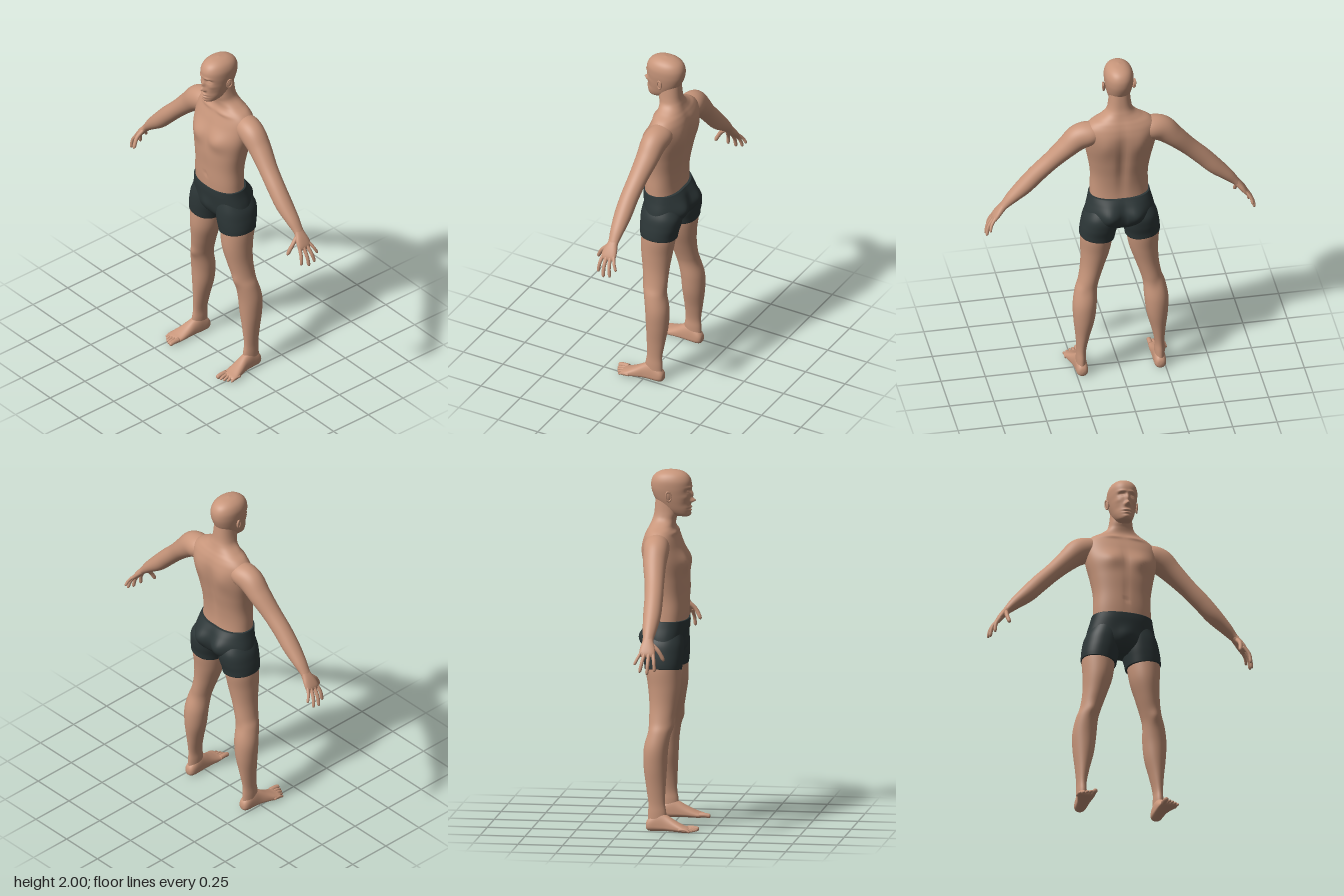
import * as THREE from 'three';

const skin = new THREE.MeshStandardMaterial({ color: 0xc8967b });
skin.name = 'skin';
const cloth = new THREE.MeshStandardMaterial({ color: 0x2d3738 });
cloth.name = 'dark cloth';

const X = new THREE.Vector3(1, 0, 0), Y = new THREE.Vector3(0, 1, 0), Z = new THREE.Vector3(0, 0, 1);

function catmull(a, b, c, d, t) {
  return 0.5 * (2 * b + (c - a) * t + (2 * a - 5 * b + 4 * c - d) * t * t + (3 * b - a - 3 * c + d) * t * t * t);
}

// Smooth skin through cross-sections [x, y, z, half width, depth toward ref, depth away from ref].
// axis fixes the section plane; without it the sections follow the path.
// bumps: [|x|, y, side (+1 front, -1 back), outward push, x spread, y spread]
function loft(rows, { n = 32, steps = 6, axis = null, ref = Z, power = 2, bumps = [], warp = null } = {}) {
  const S = [], at = i => rows[Math.max(0, Math.min(rows.length - 1, i))];
  for (let i = 0; i < rows.length - 1; i++)
    for (let k = 0; k < steps; k++)
      S.push(rows[i].map((_, j) => catmull(at(i - 1)[j], at(i)[j], at(i + 1)[j], at(i + 2)[j], k / steps)));
  S.push(rows[rows.length - 1]);
  const centres = S.map(r => new THREE.Vector3(r[0], r[1], r[2]));
  const pos = [], idx = [];
  S.forEach((r, i) => {
    const t = axis ? axis.clone()
      : centres[Math.min(i + 1, S.length - 1)].clone().sub(centres[Math.max(i - 1, 0)]).normalize();
    const v = ref.clone().addScaledVector(t, -ref.dot(t)).normalize();
    const u = v.clone().cross(t);
    for (let k = 0; k < n; k++) {
      const c = Math.cos(k / n * 2 * Math.PI), s = Math.sin(k / n * 2 * Math.PI);
      const e = w => Math.sign(w) * Math.pow(Math.abs(w), 2 / power);
      const p = centres[i].clone().addScaledVector(u, Math.max(r[3], 0.0005) * e(c))
        .addScaledVector(v, Math.max(s > 0 ? r[4] : r[5], 0.0005) * e(s));
      let push = 0;
      for (const [bx, by, side, d, sx, sy] of bumps)
        if (s * side > 0)
          push += side * d * Math.sqrt(Math.abs(s)) *
            Math.exp(-(((Math.abs(p.x) - bx) / sx) ** 2) - ((p.y - by) / sy) ** 2);
      p.z += push;
      if (warp) warp(p);
      pos.push(p.x, p.y, p.z);
    }
  });
  const last = (S.length - 1) * n, cap = S.length * n;
  for (const c of [centres[0], centres[S.length - 1]]) {
    const p = c.clone();
    if (warp) warp(p);
    pos.push(p.x, p.y, p.z);
  }
  for (let k = 0; k < n; k++) {
    const m = (k + 1) % n;
    for (let i = 0; i < last; i += n) idx.push(i + k, i + m, i + n + k, i + m, i + n + m, i + n + k);
    idx.push(cap, m, k, cap + 1, last + k, last + m);
  }
  // Turn the faces outward if the enclosed volume came out negative
  const P = i => new THREE.Vector3().fromArray(pos, i * 3);
  let volume = 0;
  for (let i = 0; i < idx.length; i += 3) volume += P(idx[i]).dot(P(idx[i + 1]).cross(P(idx[i + 2])));
  if (volume < 0) idx.reverse();
  const g = new THREE.BufferGeometry();
  g.setAttribute('position', new THREE.Float32BufferAttribute(pos, 3));
  g.setIndex(idx);
  g.computeVertexNormals();
  return g;
}

// Finger or toe: round tube with a domed tip
function digit(points, r, ref) {
  const curve = new THREE.CatmullRomCurve3(points.map(p => new THREE.Vector3(...p)));
  const rows = [0, 0.15, 0.3, 0.45, 0.6, 0.75, 0.85, 0.92, 0.97, 1].map(t => {
    const q = curve.getPoint(t);
    const w = r * (1 - 0.15 * t) * (t > 0.85 ? Math.sqrt(Math.max(0, 1 - ((t - 0.85) / 0.15) ** 2)) : 1);
    return [q.x, q.y, q.z, w, w, w];
  });
  return loft(rows, { n: 12, steps: 2, ref });
}

// Vertical section from front and back z limits
const sec = (x, y, a, front, back, zc = (front + back) / 2) => [x, y, zc, a, front - zc, zc - back];

export function createModel() {
  const model = new THREE.Group();
  model.name = 'standing man';
  const add = (name, geo, mat = skin, parent = model) => {
    const m = new THREE.Mesh(geo, mat);
    m.name = name;
    parent.add(m);
    return m;
  };

  // Torso and neck
  add('torso', loft([
    sec(0, 1.08, 0.165, 0.08, -0.12), sec(0, 1.2, 0.163, 0.09, -0.112), sec(0, 1.3, 0.162, 0.092, -0.12),
    sec(0, 1.4, 0.177, 0.094, -0.138), sec(0, 1.5, 0.198, 0.084, -0.155), sec(0, 1.58, 0.206, 0.056, -0.16),
    sec(0, 1.63, 0.198, 0.036, -0.152), sec(0, 1.665, 0.165, 0.022, -0.138), sec(0, 1.69, 0.118, 0.016, -0.125),
    sec(0, 1.72, 0.078, 0.02, -0.113), sec(0, 1.76, 0.064, 0.03, -0.102), sec(0, 1.84, 0.056, 0.03, -0.095),
  ], {
    n: 80, steps: 8, axis: Y, power: 2.25, bumps: [
      [0.085, 1.49, 1, 0.018, 0.06, 0.05], [0, 1.5, 1, -0.005, 0.02, 0.08], [0, 1.3, 1, -0.004, 0.015, 0.1],
      [0, 1.245, 1, -0.007, 0.009, 0.009], [0.07, 1.655, 1, 0.007, 0.06, 0.012],
      [0, 1.42, -1, -0.014, 0.028, 0.2], [0.1, 1.54, -1, 0.01, 0.05, 0.07],
    ],
  }));

  // Head with sculpted face
  const head = new THREE.Group();
  head.name = 'head';
  model.add(head);
  add('skull and face', loft([
    sec(0, 1.737, 0.012, 0.085, 0.05), sec(0, 1.745, 0.036, 0.096, 0.0), sec(0, 1.775, 0.054, 0.101, -0.055),
    sec(0, 1.82, 0.067, 0.101, -0.088), sec(0, 1.86, 0.075, 0.102, -0.108), sec(0, 1.9, 0.08, 0.106, -0.119),
    sec(0, 1.94, 0.079, 0.103, -0.117), sec(0, 1.972, 0.065, 0.083, -0.098), sec(0, 1.992, 0.038, 0.046, -0.06),
    sec(0, 2.0, 0.002, -0.004, -0.008),
  ], {
    n: 120, steps: 10, axis: Y, power: 2.15, bumps: [
      [0, 1.828, 1, 0.027, 0.011, 0.012], [0, 1.86, 1, 0.015, 0.01, 0.022], [0.012, 1.822, 1, 0.009, 0.007, 0.008],
      [0.031, 1.884, 1, -0.016, 0.017, 0.011], [0.031, 1.881, 1, 0.008, 0.011, 0.006],
      [0.028, 1.903, 1, 0.006, 0.022, 0.007], [0.05, 1.85, 1, 0.005, 0.016, 0.014],
      [0, 1.79, 1, 0.009, 0.022, 0.006], [0, 1.782, 1, -0.007, 0.024, 0.003], [0, 1.774, 1, 0.008, 0.02, 0.006],
      [0, 1.753, 1, 0.006, 0.022, 0.01], [0.05, 1.805, 1, -0.004, 0.015, 0.018],
    ],
  }), skin, head);

  // Shorts: hips with seat
  const shorts = new THREE.Group();
  shorts.name = 'shorts';
  model.add(shorts);
  add('shorts hips', loft([
    sec(0, 1.167, 0.171, 0.094, -0.122), sec(0, 1.13, 0.179, 0.093, -0.138), sec(0, 1.07, 0.194, 0.084, -0.15),
    sec(0, 1.01, 0.2, 0.074, -0.14), sec(0, 0.975, 0.165, 0.055, -0.115), sec(0, 0.95, 0.08, 0.02, -0.08),
  ], {
    n: 80, steps: 8, axis: Y, power: 2.3, bumps: [
      [0.078, 1.065, -1, 0.036, 0.06, 0.065], [0, 1.04, -1, -0.008, 0.012, 0.07], [0, 1.04, 1, 0.012, 0.04, 0.045],
    ],
  }), cloth, shorts);

  for (const s of [1, -1]) {
    const side = s > 0 ? 'left' : 'right';
    const mir = rows => rows.map(r => [r[0] * s, ...r.slice(1)]);

    // Ear: flat shell with a rim
    const ear = new THREE.Group();
    ear.name = side + 'Ear';
    ear.position.set(0.083 * s, 1.858, -0.012);
    ear.rotation.set(-0.15, s * -0.3, s * -0.12);
    head.add(ear);
    add('ear shell', new THREE.SphereGeometry(1, 16, 12).scale(0.007, 0.028, 0.016), skin, ear);
    add('ear rim', new THREE.TorusGeometry(0.015, 0.0035, 8, 24).rotateY(Math.PI / 2).scale(1, 1.75, 1), skin, ear)
      .position.x = 0.005 * s;

    // Shorts leg, hem dipping toward the inside
    add(side + 'ShortsLeg', loft(mir([
      sec(0.09, 1.1, 0.085, 0.07, -0.13), sec(0.105, 1.04, 0.1, 0.078, -0.156), sec(0.115, 0.98, 0.103, 0.078, -0.152),
      sec(0.124, 0.93, 0.1, 0.074, -0.14), sec(0.128, 0.897, 0.097, 0.07, -0.135),
    ]), {
      n: 48, axis: Y, power: 2.2,
      warp: p => { if (p.y < 1) p.y += (Math.abs(p.x) - 0.128) * 0.12 * (1 - p.y) * 10; },
    }), cloth, shorts);

    // Leg from thigh to ankle
    add(side + 'Leg', loft(mir([
      sec(0.125, 0.98, 0.088, 0.06, -0.125), sec(0.13, 0.9, 0.091, 0.066, -0.13), sec(0.136, 0.8, 0.082, 0.066, -0.116),
      sec(0.153, 0.7, 0.067, 0.05, -0.106), sec(0.175, 0.61, 0.059, 0.032, -0.106), sec(0.192, 0.55, 0.062, 0.02, -0.112),
      sec(0.202, 0.46, 0.067, 0.006, -0.13), sec(0.206, 0.36, 0.059, 0.0, -0.13), sec(0.214, 0.25, 0.039, -0.006, -0.115),
      sec(0.22, 0.16, 0.027, -0.009, -0.102), sec(0.221, 0.1, 0.028, -0.001, -0.104), sec(0.222, 0.03, 0.028, 0.0, -0.105),
    ]), {
      n: 40, axis: Y, bumps: [[0.183, 0.585, 1, 0.009, 0.03, 0.035], [0.2, 0.56, -1, -0.004, 0.03, 0.04]],
    }));

    // Foot and toes
    const foot = new THREE.Group();
    foot.name = side + 'Foot';
    model.add(foot);
    add('foot', loft(mir([
      [0.22, 0.034, -0.116, 0.004, 0.005, 0.005], [0.22, 0.034, -0.11, 0.022, 0.026, 0.024],
      [0.22, 0.032, -0.09, 0.032, 0.05, 0.03], [0.221, 0.03, -0.045, 0.034, 0.08, 0.028],
      [0.224, 0.028, 0.0, 0.036, 0.066, 0.024], [0.231, 0.024, 0.05, 0.043, 0.04, 0.021],
      [0.238, 0.018, 0.095, 0.049, 0.023, 0.017], [0.239, 0.016, 0.125, 0.045, 0.013, 0.014],
      [0.238, 0.016, 0.137, 0.02, 0.004, 0.005],
    ]), { n: 36, axis: Z, ref: Y, power: 2.3 }), skin, foot);
    for (let i = 0; i < 5; i++) {
      const x = 0.204 + i * 0.0185 + (i ? 0.003 : 0), end = 0.18 - i * 0.005 - i * i * 0.0012;
      const r = i ? 0.0098 - i * 0.0004 : 0.0145;
      add('toe', digit([[x * s, 0.02, end - 0.065], [x * s, 0.02, end - 0.03], [(x + 0.001) * s, r, end]], r, Y), skin, foot);
    }

    // Arm from shoulder to wrist
    add(side + 'Arm', loft(mir([
      [0.11, 1.6, -0.062, 0.05, 0.05, 0.06], [0.17, 1.592, -0.06, 0.068, 0.068, 0.075],
      [0.235, 1.57, -0.056, 0.073, 0.07, 0.072], [0.302, 1.51, -0.052, 0.06, 0.062, 0.066],
      [0.385, 1.425, -0.042, 0.05, 0.054, 0.055], [0.465, 1.343, -0.034, 0.049, 0.051, 0.052],
      [0.535, 1.268, -0.032, 0.046, 0.049, 0.05], [0.605, 1.203, -0.034, 0.034, 0.039, 0.04],
      [0.645, 1.162, -0.036, 0.024, 0.031, 0.031], [0.665, 1.14, -0.036, 0.018, 0.03, 0.03],
    ]), { n: 40, steps: 8 }));

    // Hand: palm, four fingers and thumb
    const hand = new THREE.Group();
    hand.name = side + 'Hand';
    model.add(hand);
    add('palm', loft(mir([
      [0.638, 1.172, -0.036, 0.02, 0.026, 0.026], [0.662, 1.143, -0.036, 0.02, 0.031, 0.031],
      [0.686, 1.113, -0.035, 0.018, 0.041, 0.041], [0.706, 1.085, -0.034, 0.014, 0.044, 0.044],
      [0.714, 1.07, -0.034, 0.008, 0.036, 0.036], [0.716, 1.066, -0.034, 0.002, 0.02, 0.02],
    ]), { n: 28, power: 2.3 }), skin, hand);
    const fingers = [ // knuckle, middle joint, tip, radius
      [[0.7, 1.092, -0.002], [0.73, 1.04, 0.008], [0.737, 0.988, 0.013], 0.0105],
      [[0.705, 1.09, -0.024], [0.742, 1.03, -0.025], [0.754, 0.974, -0.028], 0.011],
      [[0.704, 1.092, -0.046], [0.742, 1.037, -0.058], [0.755, 0.985, -0.069], 0.0105],
      [[0.698, 1.1, -0.062], [0.73, 1.06, -0.084], [0.741, 1.025, -0.101], 0.009],
      [[0.665, 1.135, -0.018], [0.672, 1.095, 0.024], [0.664, 1.037, 0.055], 0.0125],
    ];
    fingers.forEach(([a, b, c, r], i) =>
      add(i < 4 ? 'finger' : 'thumb', digit(mir([a, b, c]), r, i < 4 ? Z : X), skin, hand));
  }
  return model;
}
